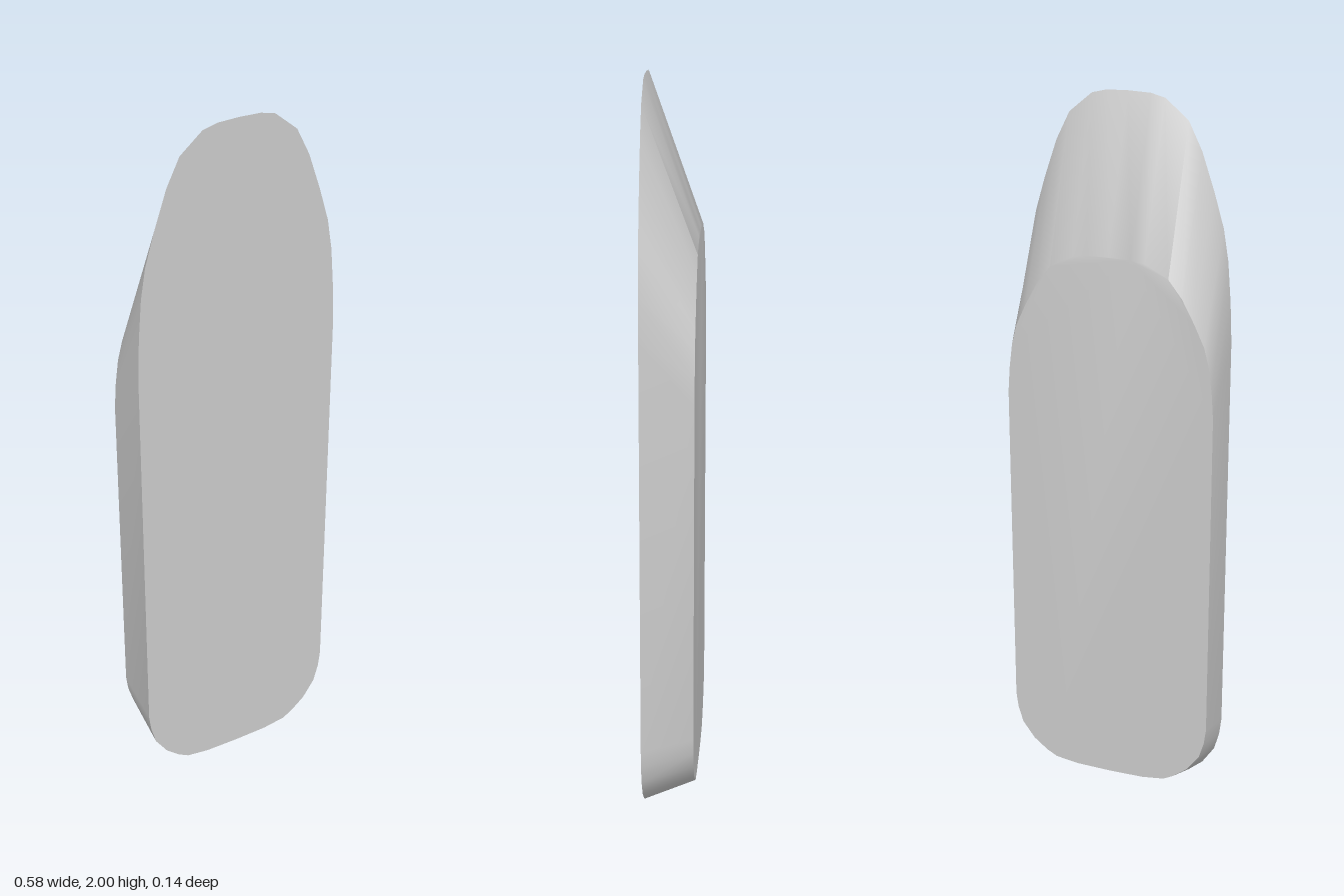
import * as THREE from 'three';
import { toCreasedNormals } from 'three/addons/utils/BufferGeometryUtils.js';

export function createModel() {
  const group = new THREE.Group();
  const depth = 0.142;

  // Right half of the front outline, bottom to top
  const half = [
    [0.1, 0.002], [0.165, 0.012], [0.195, 0.03], [0.235, 0.065], [0.27, 0.118], [0.284, 0.17], [0.29, 0.22],
    [0.29, 1.36], [0.285, 1.47], [0.276, 1.58], [0.262, 1.665], [0.235, 1.757], [0.2, 1.86],
    [0.163, 1.935], [0.1, 1.988], [0.06, 1.998],
  ];
  const mirrored = half.map(([x, y]) => [-x, y]).reverse();
  const outline = [[0, 0], ...half, [0, 2], ...mirrored].map(([x, y]) => new THREE.Vector2(x, y));

  const geometry = new THREE.ExtrudeGeometry(new THREE.Shape(outline), { depth, bevelEnabled: false });
  geometry.translate(0, 0, -depth / 2);

  // Shorten the back face: raise its bottom and squash its top arch
  const p = geometry.attributes.position;
  for (let i = 0; i < p.count; i++) {
    if (p.getZ(i) > 0) continue;
    const y = p.getY(i);
    p.setY(i, y < 0.7 ? y * 0.9 + 0.065 : 1.6 - (2 - y) * 0.63);
  }

  const slab = new THREE.Mesh(
    toCreasedNormals(geometry, 0.5),
    new THREE.MeshStandardMaterial({ color: 0xcccccc })
  );
  slab.name = 'beveledSlab';
  group.add(slab);
  return group;
}
